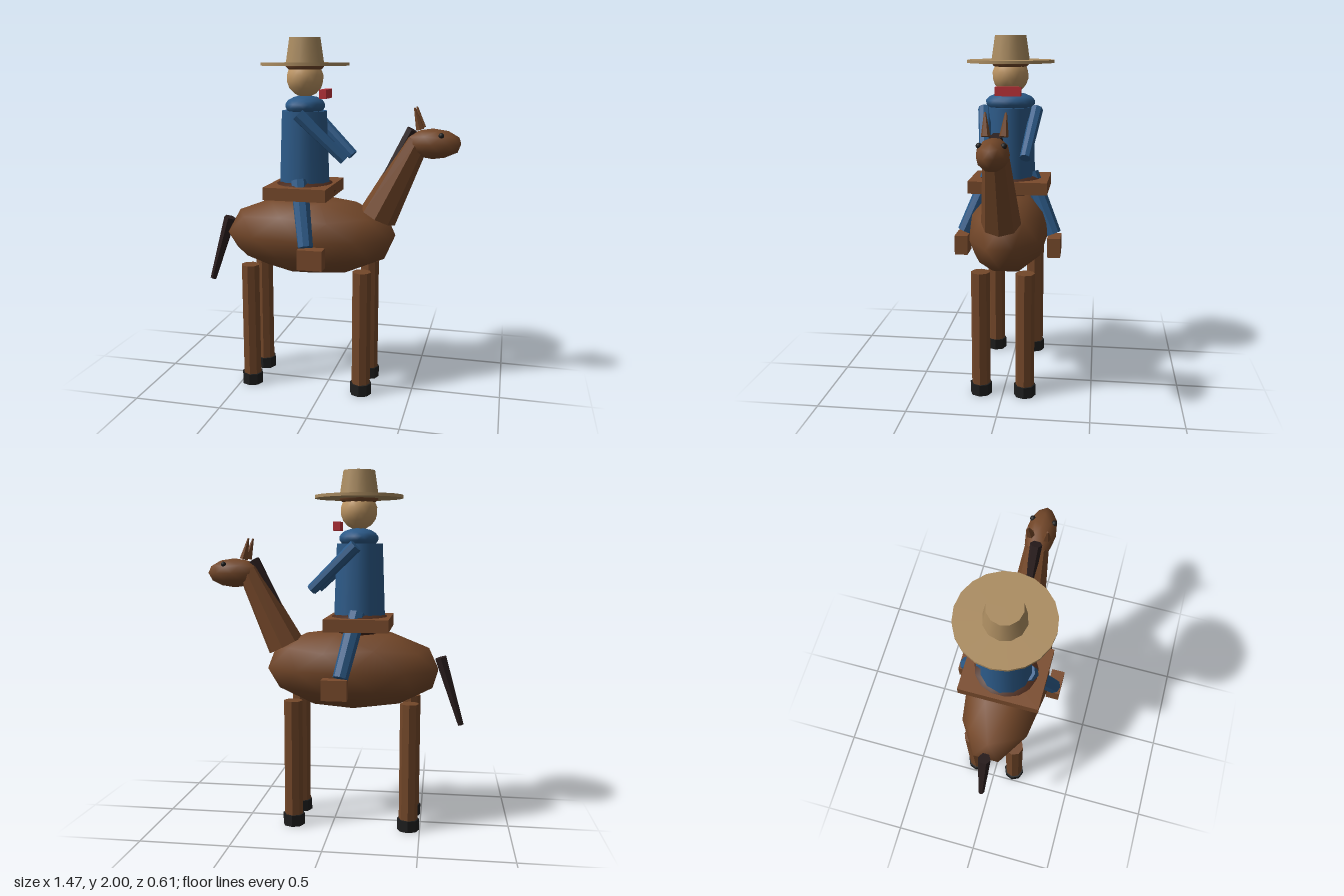
import * as THREE from 'three';

const mat = (name, color) => Object.assign(new THREE.MeshStandardMaterial({ color }), { name });

export function createModel() {
  const coat = mat('brown coat', 0x734729);
  const leather = mat('saddle leather', 0x7a4b2c);
  const darkLeather = mat('dark leather', 0x4a2a1c);
  const hair = mat('dark horsehair', 0x2a1e1e);
  const black = mat('black', 0x1e1e1e);
  const blue = mat('blue cloth', 0x2c5a88);
  const skin = mat('skin', 0xbd9563);
  const straw = mat('straw', 0xab8c60);
  const red = mat('red cloth', 0xc0323a);

  const model = new THREE.Group();
  model.name = 'riderOnHorse';

  const add = (name, geometry, material, pos = [0, 0, 0]) => {
    const mesh = new THREE.Mesh(geometry, material);
    mesh.name = name;
    mesh.position.set(...pos);
    model.add(mesh);
    return mesh;
  };

  // Smooth ellipsoid from an icosphere standing on one of its corners
  const ball = (name, material, pos, radii, detail = 1) => {
    const g = new THREE.IcosahedronGeometry(1, detail);
    g.rotateZ(-Math.atan(2) / 2);
    g.scale(...radii);
    return add(name, g, material, pos);
  };

  const box = (name, material, pos, size) =>
    add(name, new THREE.BoxGeometry(...size), material, pos);

  // Tapered limb between two points, faceted when it has few sides
  const limb = (name, material, from, to, rFrom, rTo, sides = 8) => {
    const a = new THREE.Vector3(...from), b = new THREE.Vector3(...to);
    const dir = b.clone().sub(a);
    let g = new THREE.CylinderGeometry(rTo, rFrom, dir.length(), sides);
    if (sides <= 8) {
      g = g.toNonIndexed();
      g.computeVertexNormals();
    }
    const mesh = add(name, g, material, a.add(b).multiplyScalar(0.5).toArray());
    mesh.quaternion.setFromUnitVectors(new THREE.Vector3(0, 1, 0), dir.normalize());
    return mesh;
  };

  // Horse body, neck and head
  ball('horseBody', coat, [-0.105, 0.897, 0], [0.505, 0.235, 0.235]);
  limb('horseNeck', coat, [0.285, 1.02, 0], [0.5, 1.45, 0], 0.108, 0.064);
  ball('horseHead', coat, [0.58, 1.435, 0], [0.158, 0.083, 0.083]);
  limb('mane', hair, [0.265, 1.13, 0], [0.468, 1.51, 0], 0.02, 0.033, 6);
  limb('tail', hair, [-0.72, 0.585, 0], [-0.6, 0.968, 0], 0.018, 0.036, 6);

  // Saddle
  box('saddle', leather, [-0.142, 1.16, 0], [0.355, 0.07, 0.45]);
  ball('saddleSeat', darkLeather, [-0.14, 1.16, 0], [0.18, 0.075, 0.2], 2);

  // Paired parts on both sides
  for (const s of [-1, 1]) {
    const side = s > 0 ? 'Front' : 'Back';
    for (const [x, label] of [[-0.435, 'hind'], [0.22, 'fore']]) {
      limb(`${label}Leg${side}`, coat, [x, 0.05, s * 0.125], [x, 0.725, s * 0.125], 0.053, 0.053);
      limb(`${label}Hoof${side}`, black, [x, 0, s * 0.125], [x, 0.065, s * 0.125], 0.062, 0.062);
    }
    limb(`ear${side}`, coat, [0.515, 1.515, s * 0.045], [0.484, 1.63, s * 0.052], 0.024, 0.005, 6);
    ball(`eye${side}`, black, [0.63, 1.485, s * 0.06], [0.015, 0.015, 0.015], 2);
    limb(`riderArm${side}`, blue, [0.115, 1.347, s * 0.11], [-0.135, 1.59, s * 0.15], 0.031, 0.037);
    limb(`riderLeg${side}`, blue, [-0.066, 0.88, s * 0.262], [-0.14, 1.22, s * 0.115], 0.043, 0.05);
    box(`boot${side}`, leather, [-0.035, 0.819, s * 0.267], [0.14, 0.112, 0.075]);
  }

  // Rider
  limb('riderTorso', blue, [-0.14, 1.2, 0], [-0.14, 1.602, 0], 0.144, 0.129, 12);
  ball('riderShoulders', blue, [-0.135, 1.63, 0], [0.11, 0.058, 0.143], 2);
  ball('riderHead', skin, [-0.135, 1.78, 0], [0.103, 0.105, 0.103], 2);
  ball('riderHair', coat, [-0.135, 1.853, 0], [0.11, 0.046, 0.11], 2);
  box('neckerchief', red, [-0.018, 1.696, 0], [0.038, 0.05, 0.145]);

  // Hat
  limb('hatBrim', straw, [-0.135, 1.848, 0], [-0.135, 1.865, 0], 0.246, 0.246, 20);
  limb('hatCrown', straw, [-0.135, 1.86, 0], [-0.135, 2, 0], 0.109, 0.088, 12);

  return model;
}
